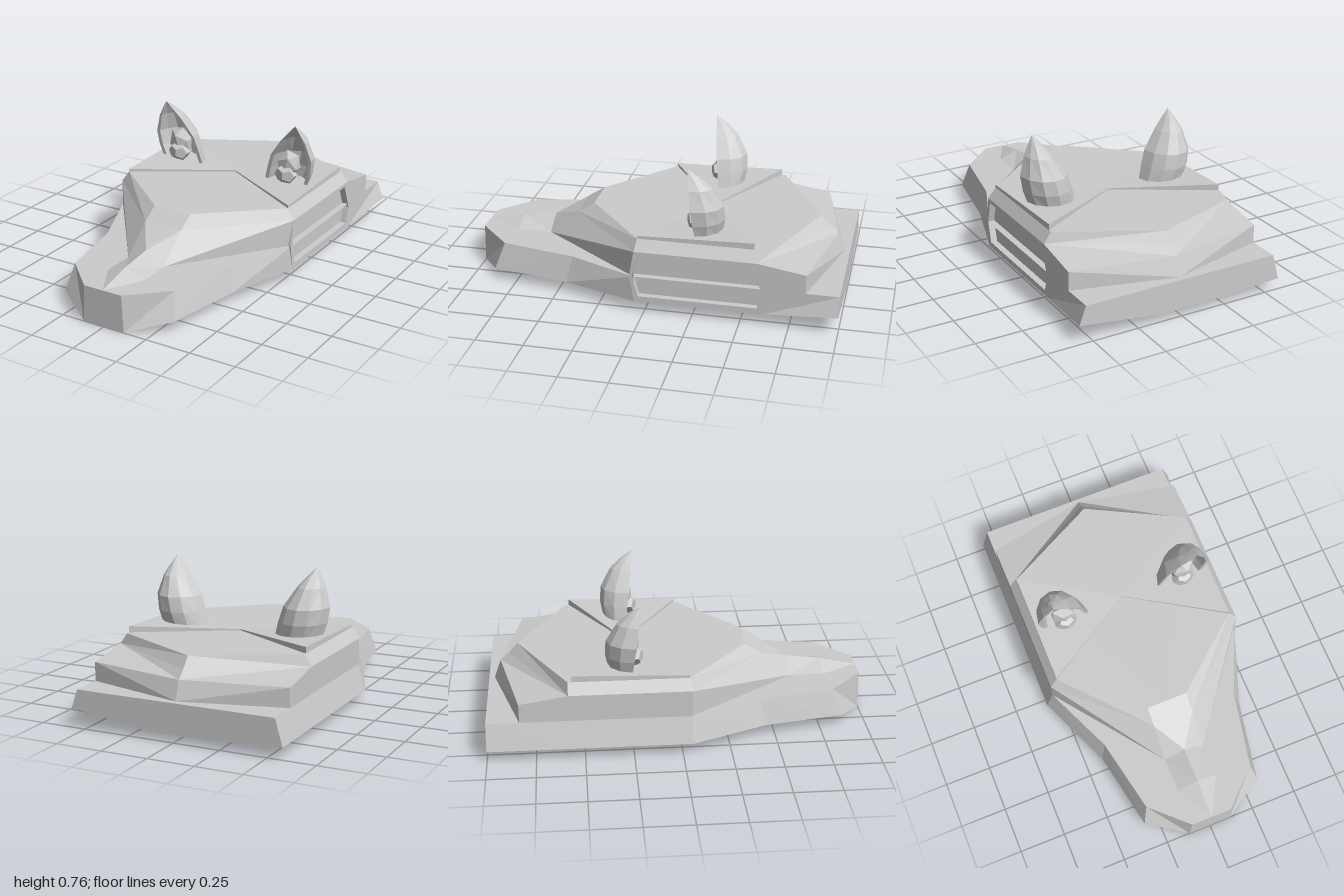
import * as THREE from 'three';

const material = new THREE.MeshStandardMaterial({ color: 0xcccccc, flatShading: true, side: THREE.DoubleSide });

function addMesh(parent, name, geometry) {
  const mesh = new THREE.Mesh(geometry, material);
  mesh.name = name;
  parent.add(mesh);
  return mesh;
}

// Flat polygons as triangle fans, each turned to face away from a centre point
function polyGeometry(polys, centre) {
  const out = [];
  const c = new THREE.Vector3(...centre);
  for (const poly of polys) {
    const p = poly.map((v) => new THREE.Vector3(...v));
    for (let i = 1; i < p.length - 1; i++) {
      const tri = new THREE.Triangle(p[0], p[i], p[i + 1]);
      if (tri.getArea() < 1e-7) continue;
      const n = tri.getNormal(new THREE.Vector3());
      const away = tri.getMidpoint(new THREE.Vector3()).sub(c);
      const order = n.dot(away) > 0 ? [p[0], p[i], p[i + 1]] : [p[0], p[i + 1], p[i]];
      order.forEach((v) => out.push(v.x, v.y, v.z));
    }
  }
  const g = new THREE.BufferGeometry();
  g.setAttribute('position', new THREE.Float32BufferAttribute(out, 3));
  g.computeVertexNormals();
  return g;
}

// Quads joining two rows of points
const strip = (a, b) => a.slice(1).map((_, i) => [a[i], a[i + 1], b[i + 1], b[i]]);
const side = (pts, s) => pts.map(([x, y, z]) => [x * s, y, z]);
const shape2D = (pts) => new THREE.Shape(pts.map(([z, y]) => new THREE.Vector2(-z, y)));

const hullCentre = [0, 0.12, -0.1];

// Lower hull: keel, flared skirt and deck
function lowerHull(s) {
  const w = s > 0 ? 0.54 : 0.58;
  const low = side([[0.12, 0, 1], [0.33, 0.06, 0.87], [0.41, 0.06, 0.45], [w, 0.06, 0.05],
    [w, 0.06, -0.62], s > 0 ? [0.575, 0.1, -1] : [0.58, 0.06, -1]], s);
  const up = side([[0.11, 0.2, 1], [0.3, 0.2, 0.82], [0.38, 0.2, 0.42], [0.54, 0.2, 0.05],
    [0.54, 0.2, -0.62], [0.54, 0.2, -1]], s);
  const keel = [1, 0.87, 0.45, 0.05, -0.88, -1].map((z) => [0.12 * s, z === -1 ? 0.04 : 0, z]);
  const skirt = strip(low, up);
  if (s > 0) skirt.splice(3, 1); // the recessed side wall fills this gap
  return [
    ...skirt,
    ...strip(keel, low),
    ...strip(keel, keel.map(([, y, z]) => [0, y, z])),
    ...strip(up, up.map(([, y, z]) => [0, y, z])),
    [[0, 0, 1], keel[0], up[0], [0, 0.2, 1]],
    [[0, 0.2, -1], up[5], low[5], keel[5], [0, 0.04, -1]],
  ];
}

// Upper hull: two sloping bands round a pointed roof, stepped at the back
function upperHull(s) {
  const base = side([[0, 0.2, 0.62], [0.11, 0.2, 0.62], [0.54, 0.2, 0.05]], s);
  const mid = side([[0, 0.34, 0.46], [0.11, 0.34, 0.46], [0.54, 0.34, 0.05], [0.54, 0.34, -0.58], [0, 0.34, -0.89]], s);
  const top = side([[0, 0.397, 0.37], [0.11, 0.397, 0.37], [0.5, 0.397, 0.04], [0.5, 0.397, -0.58], [0, 0.397, -0.84]], s);
  const step = side([[0.54, 0.3, -0.83], [0, 0.3, -0.935]], s);
  const foot = side([[0.54, 0.2, -0.83], [0, 0.2, -0.97]], s);
  const polys = [
    ...strip(base, mid.slice(0, 3)),
    ...strip(mid, top),
    ...strip(mid.slice(3), step),
    ...strip(step, foot),
    top,
  ];
  if (s < 0) polys.push([base[2], foot[0], step[0], mid[3], mid[2]]);
  return polys;
}

// Central ridge running down the nose
function noseRidge(s) {
  const crest = [[0, 0.2, 1], [0, 0.245, 0.8], [0, 0.265, 0.62], [0, 0.34, 0.46]];
  const edge = [[0.11 * s, 0.2, 1], [0.11 * s, 0.2, 0.8], [0.11 * s, 0.2, 0.62], [0.11 * s, 0.34, 0.46]];
  return strip(crest, edge);
}

// Raised triangular plate on each half of the roof
function roofPlate(s) {
  const top = side([[0, 0.403, -0.27], [0.5, 0.412, 0.04], [0.5, 0.43, -0.56]], s);
  const bottom = top.map(([x, , z]) => [x, 0.39, z]);
  return [top, ...strip([...top, top[0]], [...bottom, bottom[0]])];
}

// Side wall with a six-sided recess
function sidePanel() {
  const group = new THREE.Group();
  group.name = 'recessedSide';
  const opening = [[0.03, 0.32], [-0.55, 0.32], [-0.61, 0.18], [-0.585, 0.09], [0.03, 0.09], [0.06, 0.2]];
  const wall = shape2D([[0.05, 0.06], [-0.62, 0.06], [-0.62, 0.2], [-0.83, 0.2], [-0.83, 0.3],
    [-0.58, 0.34], [0.05, 0.34], [0.075, 0.2]]);
  wall.holes.push(shape2D(opening));
  const frame = addMesh(group, 'sideWall', new THREE.ExtrudeGeometry(wall, { depth: 0.04, bevelEnabled: false }));
  const floor = addMesh(group, 'recessFloor', new THREE.ShapeGeometry(shape2D(opening)));
  frame.rotation.y = floor.rotation.y = Math.PI / 2;
  frame.position.x = 0.5;
  floor.position.x = 0.505;
  return group;
}

// Hollow ear: crescent cross-sections [y, inner x, outer x, front z, back z] closing to a tip
function ear(s) {
  const group = new THREE.Group();
  group.name = s > 0 ? 'leftEar' : 'rightEar';
  const levels = [[0.4, 0.2, 0.455, -0.25, -0.37], [0.48, 0.22, 0.48, -0.24, -0.385], [0.56, 0.245, 0.49, -0.23, -0.38],
    [0.66, 0.315, 0.46, -0.215, -0.325], [0.715, 0.365, 0.43, -0.205, -0.265], [0.757, 0.405, 0.405, -0.2, -0.2]];
  const n = 6;
  const arc = ([y, x0, x1, zf, zb], k) => Array.from({ length: n + 1 }, (_, i) => {
    const a = Math.PI * i / n;
    return [s * ((x0 + x1) / 2 - k * Math.cos(a) * (x1 - x0) / 2), y, zf + k * Math.sin(a) * (zb - zf)];
  });
  const pos = [];
  const index = [];
  const ringSize = 2 * (n + 1);
  levels.forEach((l, j) => {
    [...arc(l, 1), ...arc(l, 0.84).reverse()].forEach((p) => pos.push(...p));
    if (!j) return;
    for (let i = 0; i < ringSize; i++) {
      const a = (j - 1) * ringSize + i;
      const b = (j - 1) * ringSize + (i + 1) % ringSize;
      const quad = [a, b, b + ringSize, a, b + ringSize, a + ringSize];
      index.push(...(s < 0 ? quad : quad.reverse()));
    }
  });
  const shell = new THREE.BufferGeometry();
  shell.setAttribute('position', new THREE.Float32BufferAttribute(pos, 3));
  shell.setIndex(index);
  // Reverse the winding so the outer skin faces outwards
  const flipped = shell.index.array;
  for (let i = 0; i < flipped.length; i += 3) [flipped[i], flipped[i + 1]] = [flipped[i + 1], flipped[i]];
  shell.computeVertexNormals();
  addMesh(group, 'earShell', shell);

  // Faceted tufts inside the ear
  const upper = addMesh(group, 'upperTuft', new THREE.IcosahedronGeometry(1, 0));
  upper.scale.set(0.07, 0.085, 0.05);
  upper.position.set(s * 0.345, 0.515, -0.255);
  upper.rotation.z = -s * 0.3;
  const lower = addMesh(group, 'lowerTuft', new THREE.DodecahedronGeometry(1, 0));
  lower.scale.set(0.065, 0.055, 0.045);
  lower.position.set(s * 0.34, 0.465, -0.23);
  return group;
}

export function createModel() {
  const model = new THREE.Group();
  model.name = 'model';
  const both = (f) => [...f(1), ...f(-1)];
  addMesh(model, 'lowerHull', polyGeometry(both(lowerHull), hullCentre));
  addMesh(model, 'upperHull', polyGeometry(both(upperHull), hullCentre));
  addMesh(model, 'noseRidge', polyGeometry(both(noseRidge), hullCentre));
  for (const s of [1, -1]) {
    addMesh(model, s > 0 ? 'leftRoofPlate' : 'rightRoofPlate', polyGeometry(roofPlate(s), [s * 0.33, 0.395, -0.26]));
    model.add(ear(s));
  }
  model.add(sidePanel());
  return model;
}
